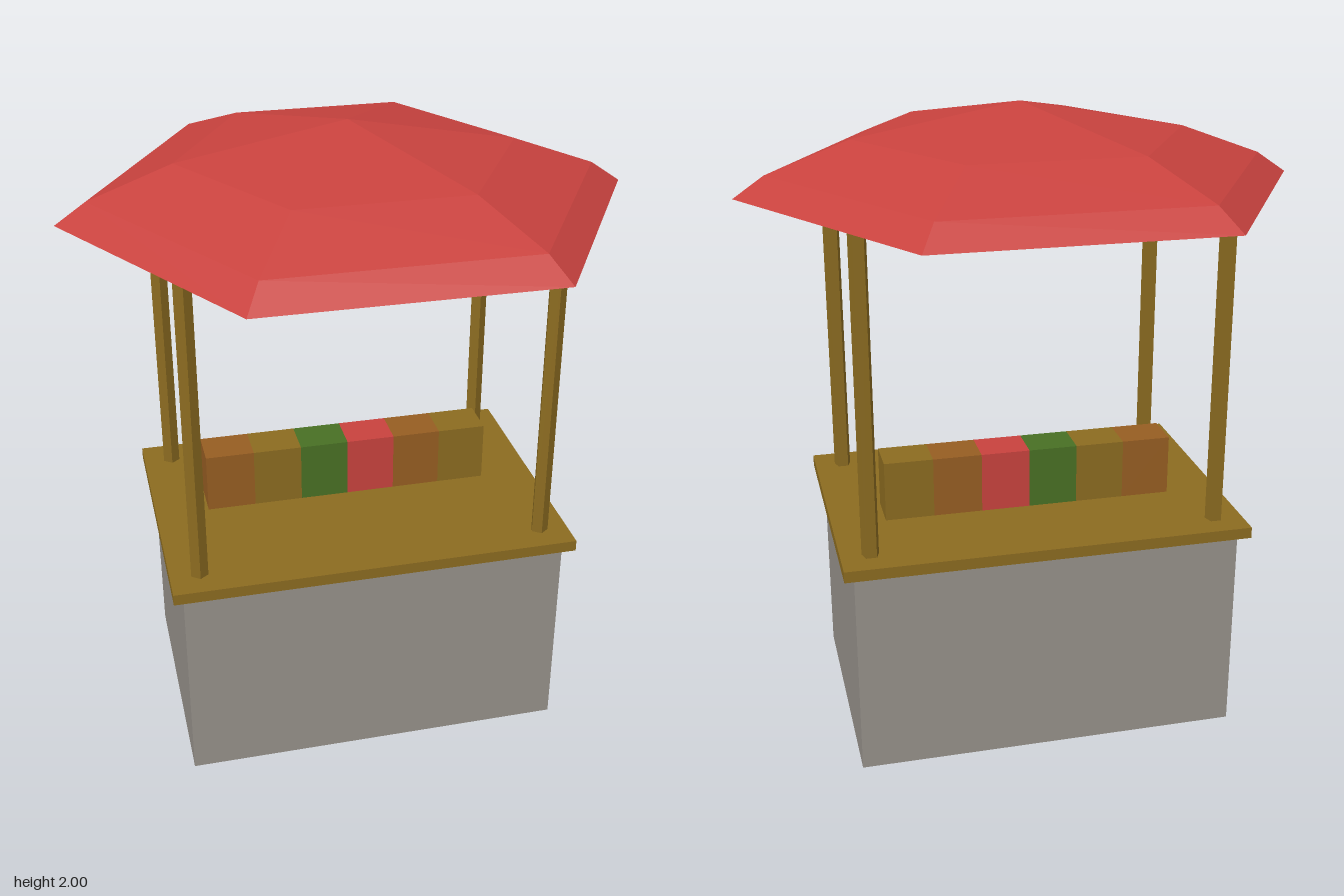
import * as THREE from 'three';

const makeMat = (name, color) => {
  const m = new THREE.MeshStandardMaterial({ color, flatShading: true });
  m.name = name;
  return m;
};

export function createModel() {
  const red = makeMat('red', 0xc8423e);
  const wood = makeMat('wood', 0x8b6b20);
  const brown = makeMat('brown', 0x965d22);
  const green = makeMat('green', 0x487024);
  const stone = makeMat('stone', 0x96918a);

  const group = new THREE.Group();
  group.name = 'marketStall';

  const add = (name, geometry, material, x = 0, y = 0, z = 0) => {
    const mesh = new THREE.Mesh(geometry, material);
    mesh.name = name;
    mesh.position.set(x, y, z);
    group.add(mesh);
    return mesh;
  };

  // Solid base and overhanging counter
  add('base', new THREE.BoxGeometry(1.22, 0.68, 0.83), stone, 0, 0.34, 0);
  add('counter', new THREE.BoxGeometry(1.285, 0.036, 0.9), wood, 0, 0.698, 0);

  // Four slim five-sided posts
  const poleGeometry = new THREE.CylinderGeometry(0.028, 0.028, 1.03, 5);
  for (const x of [-0.55, 0.55]) {
    for (const z of [-0.355, 0.355]) add('post', poleGeometry, wood, x, 1.231, z);
  }

  // Row of goods on the counter
  const goods = [brown, wood, green, red, brown, wood];
  const w = 0.94 / goods.length;
  const goodsGeometry = new THREE.BoxGeometry(w, 0.195, 0.13);
  goods.forEach((m, i) => add('goodsBox', goodsGeometry, m, -0.47 + w * (i + 0.5), 0.8135, -0.065));

  // Hexagonal domed canopy with a flat underside
  const profile = [[0, 1.745], [0.87, 1.745], [0.775, 1.81], [0.518, 1.905], [0, 2]]
    .map(([r, y]) => new THREE.Vector2(r, y));
  const canopy = new THREE.LatheGeometry(profile, 6, Math.PI / 6).toNonIndexed();
  canopy.computeVertexNormals();
  add('canopy', canopy, red);

  return group;
}
